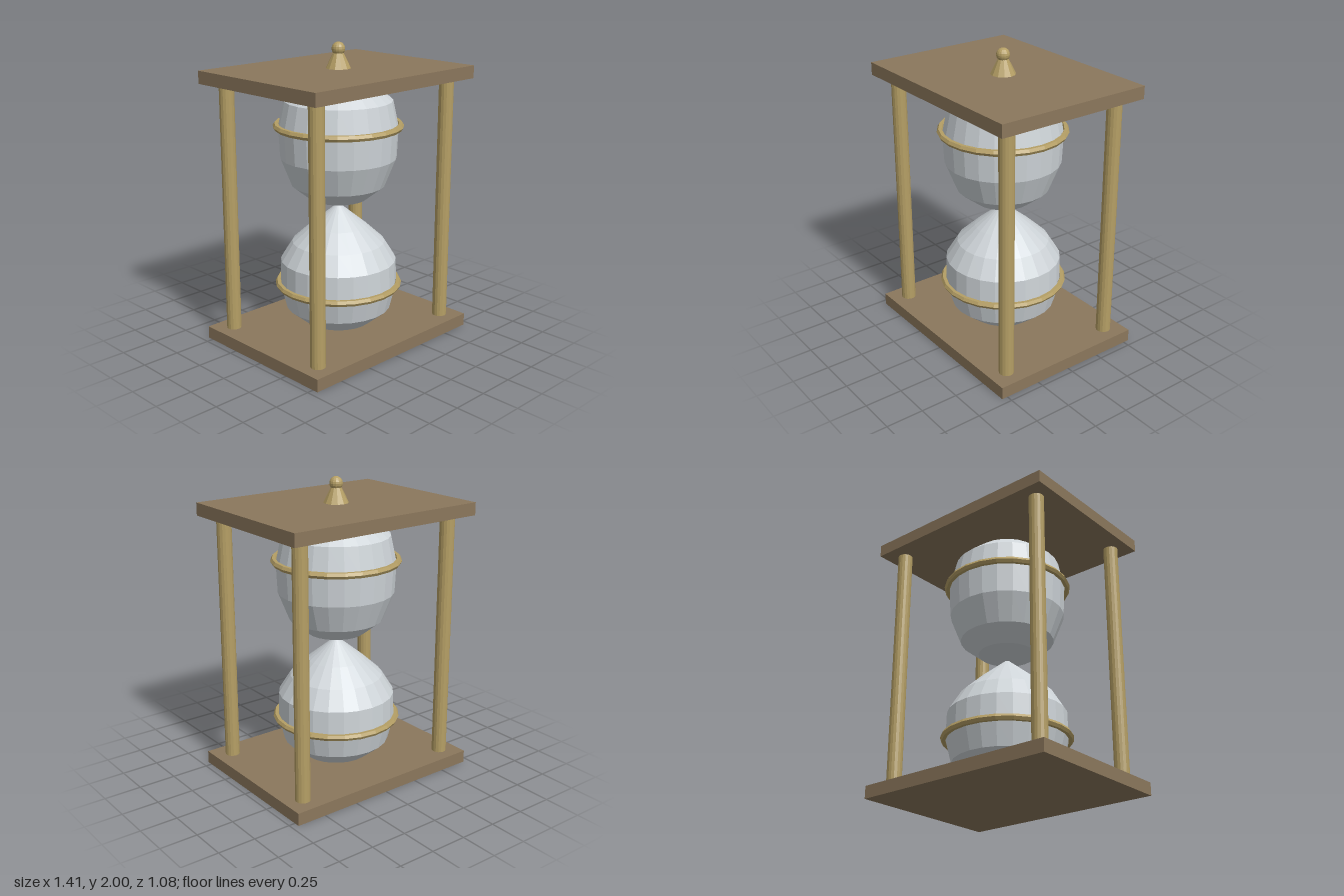
import * as THREE from 'three';

export function createModel() {
  const model = new THREE.Group();
  model.name = 'hourglass';

  const material = (name, color, flatShading = false) => {
    const m = new THREE.MeshStandardMaterial({ color, flatShading });
    m.name = name;
    return m;
  };
  const wood = material('wood', 0x8b775c);
  const brass = material('brass', 0xb59f65, true);
  const glass = material('glass', 0xced4d8, true);

  const add = (name, geometry, mat, x = 0, y = 0, z = 0) => {
    const mesh = new THREE.Mesh(geometry, mat);
    mesh.name = name;
    mesh.position.set(x, y, z);
    model.add(mesh);
    return mesh;
  };
  // Profiles run from bottom to top so the faces point outward
  const lathe = (points, segments) =>
    new THREE.LatheGeometry(points.map(([r, y]) => new THREE.Vector2(r, y)), segments);

  // Base and top boards
  const board = new THREE.BoxGeometry(1.412, 0.084, 1.08);
  add('baseBoard', board, wood, 0, 0.042, 0);
  add('topBoard', board, wood, 0, 1.79, 0);

  // Four corner posts
  const post = new THREE.CylinderGeometry(0.049, 0.049, 1.668, 16);
  for (const x of [-0.583, 0.583]) {
    for (const z of [-0.415, 0.415]) add('cornerPost', post, brass, x, 0.916, z);
  }

  // Faceted glass bulbs meeting at the narrow neck
  add('lowerBulb', lathe([
    [0, 0.088], [0.228, 0.108], [0.355, 0.213], [0.393, 0.365], [0.388, 0.545],
    [0.31, 0.67], [0.19, 0.78], [0.012, 0.925],
  ], 24), glass);
  add('upperBulb', lathe([
    [0.012, 0.92], [0.19, 0.97], [0.31, 1.065], [0.383, 1.25], [0.393, 1.45],
    [0.355, 1.627], [0.228, 1.73], [0, 1.75],
  ], 24), glass);

  // Brass band around each bulb
  const band = new THREE.TorusGeometry(0.406, 0.022, 6, 24);
  band.rotateX(Math.PI / 2);
  add('lowerBand', band, brass, 0, 0.377, 0);
  add('upperBand', band, brass, 0, 1.46, 0);

  // Finial: cone, collar and ball
  add('finialCone', lathe([[0.083, 1.83], [0.034, 1.93], [0, 1.935]], 12), brass);
  add('finialBall', new THREE.SphereGeometry(0.044, 14, 10), brass, 0, 1.956, 0);

  return model;
}
